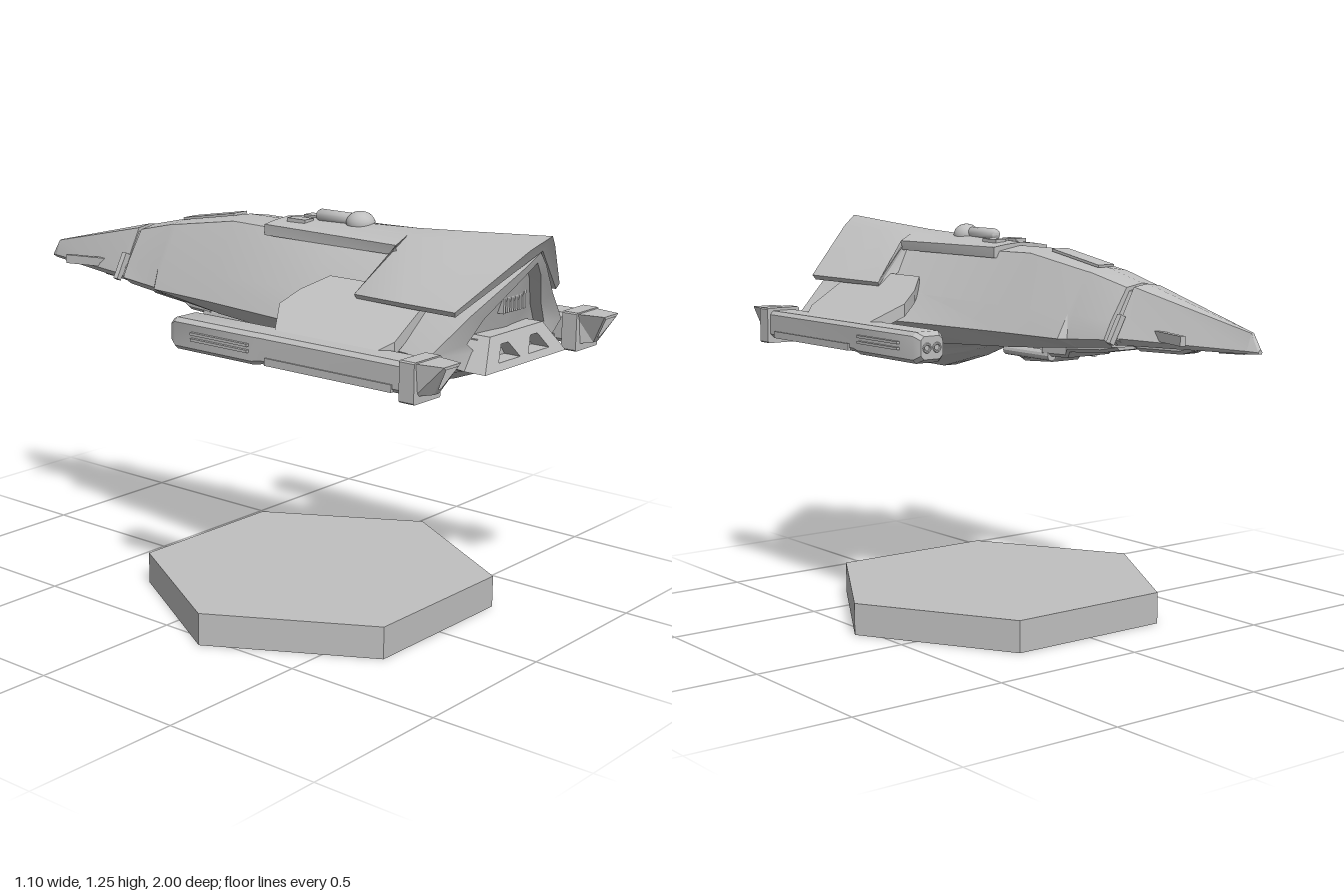
import * as THREE from 'three';
import { toCreasedNormals } from 'three/addons/utils/BufferGeometryUtils.js';

const hullGrey = new THREE.MeshStandardMaterial({ color: 0xc0c0c0 });
hullGrey.name = 'hull grey';

// Skin over half cross-sections (top centre -> +x side -> bottom centre), mirrored in x, ordered by rising z
function loft(sections) {
  const n = sections[0].pts.length, ring = 2 * n - 2;
  const pos = [], idx = [];
  for (const { z, pts } of sections) {
    for (const p of pts) pos.push(p[0], p[1], p[2] ?? z);
    for (let i = n - 2; i > 0; i--) pos.push(-pts[i][0], pts[i][1], pts[i][2] ?? z);
  }
  for (let s = 0; s < sections.length - 1; s++) {
    for (let j = 0; j < ring; j++) {
      const a = s * ring + j, b = s * ring + (j + 1) % ring;
      idx.push(a, a + ring, b, b, a + ring, b + ring);
    }
  }
  const end = (sections.length - 1) * ring;
  for (let j = 0; j < ring; j++) {
    const k = (j + 1) % ring;
    if (j === n - 1 || k === n - 1) continue;
    idx.push(n - 1, j, k, end + n - 1, end + k, end + j);
  }
  const g = new THREE.BufferGeometry();
  g.setAttribute('position', new THREE.Float32BufferAttribute(pos, 3));
  g.setIndex(idx);
  return g;
}

const sec = (z, ...pts) => ({ z, pts });

// Chamfered rectangular section
const rect = (z, w, y0, y1, c = 0.01) =>
  sec(z, [0, y1], [w - c, y1], [w, y1 - c], [w, y0 + c], [w - c, y0], [0, y0]);

function box(x0, x1, y0, y1, z0, z1) {
  return new THREE.BoxGeometry(x1 - x0, y1 - y0, z1 - z0)
    .translate((x0 + x1) / 2, (y0 + y1) / 2, (z0 + z1) / 2);
}

function mirrored(geometry) {
  const g = geometry.index ? geometry.toNonIndexed() : geometry.clone();
  g.scale(-1, 1, 1);
  const a = g.attributes.position.array;
  for (let i = 0; i < a.length; i += 9) {
    for (let k = 0; k < 3; k++) [a[i + k], a[i + 3 + k]] = [a[i + 3 + k], a[i + k]];
  }
  return g;
}

export function createModel() {
  const model = new THREE.Group();
  const add = (name, geometry, crease = 0.45) => {
    const mesh = new THREE.Mesh(toCreasedNormals(geometry, crease), hullGrey);
    mesh.name = name;
    model.add(mesh);
  };
  const pair = (name, geometry, crease) => {
    add('left ' + name, geometry, crease);
    add('right ' + name, mirrored(geometry), crease);
  };

  // Hexagonal display base
  add('display base', new THREE.CylinderGeometry(0.55, 0.55, 0.1, 6).rotateY(Math.PI / 6).translate(0, 0.05, 0.18));

  // Main hull, ending in a slanted, recessed rear face
  add('hull', loft([
    sec(-0.52, [0, 1.105], [0.06, 1.095], [0.12, 1.0], [0.145, 0.95], [0.11, 0.925], [0, 0.92]),
    sec(-0.37, [0, 1.14], [0.07, 1.13], [0.135, 1.01], [0.157, 0.94], [0.12, 0.912], [0, 0.905]),
    sec(-0.35, [0, 1.142], [0.07, 1.132], [0.14, 1.01], [0.178, 0.94], [0.12, 0.91], [0, 0.905]),
    sec(-0.1, [0, 1.185], [0.08, 1.172], [0.165, 1.015], [0.2, 0.94], [0.14, 0.89], [0, 0.885]),
    sec(0.3, [0, 1.185], [0.09, 1.168], [0.195, 1.025], [0.25, 0.94], [0.17, 0.87], [0, 0.86]),
    sec(0.86, [0, 1.195, 0.965], [0.06, 1.15, 0.945], [0.2, 1.04, 0.88], [0.33, 0.935, 0.83], [0.2, 0.88, 0.86], [0, 0.88, 0.87]),
    sec(0.86, [0, 1.165, 0.955], [0.05, 1.12, 0.935], [0.14, 1.02, 0.88], [0.19, 0.955, 0.86], [0.15, 0.925, 0.86], [0, 0.925, 0.87]),
    sec(0.84, [0, 1.155, 0.915], [0.045, 1.11, 0.9], [0.13, 1.015, 0.85], [0.18, 0.955, 0.83], [0.14, 0.93, 0.83], [0, 0.93, 0.84]),
  ]));

  // Raised roof plate widening into overhanging rear eaves
  add('roof shell', loft([
    sec(0.05, [0, 1.195], [0.06, 1.19], [0.105, 1.183], [0.105, 1.15], [0, 1.14]),
    sec(0.55, [0, 1.215], [0.05, 1.205], [0.11, 1.18], [0.105, 1.15], [0, 1.14]),
    sec(0.56, [0, 1.216], [0.06, 1.203], [0.235, 1.052, 0.5], [0.23, 1.04, 0.505], [0, 1.15]),
    sec(0.75, [0, 1.228], [0.06, 1.206], [0.25, 1.054, 0.68], [0.242, 1.04, 0.68], [0, 1.18]),
    sec(0.9, [0, 1.245, 1.0], [0.06, 1.21, 0.97], [0.258, 1.055, 0.865], [0.248, 1.04, 0.86], [0, 1.2, 0.97]),
  ]), 0.6);

  // Pointed nose behind a recessed collar and a raised flange
  add('nose collar', loft([
    sec(-0.56, [0, 1.09], [0.05, 1.085], [0.11, 0.98], [0.125, 0.95], [0.1, 0.935], [0, 0.935]),
    sec(-0.51, [0, 1.095], [0.05, 1.085], [0.11, 0.98], [0.13, 0.95], [0.1, 0.93], [0, 0.93]),
  ]));
  add('nose', loft([
    sec(-1, [0, 0.955], [0.004, 0.953], [0.008, 0.948], [0.006, 0.943], [0, 0.943]),
    sec(-0.97, [0, 1.0], [0.005, 0.998], [0.022, 0.95], [0.018, 0.942], [0, 0.942]),
    sec(-0.57, [0, 1.097], [0.047, 1.09], [0.122, 0.955], [0.105, 0.935], [0, 0.935]),
    sec(-0.54, [0, 1.104], [0.05, 1.097], [0.127, 0.955], [0.11, 0.933], [0, 0.933]),
  ]), 0.25);
  pair('nose flange', new THREE.BoxGeometry(0.018, 0.09, 0.018).rotateZ(0.5).translate(0.125, 0.98, -0.548));
  pair('nose side strip', new THREE.BoxGeometry(0.016, 0.028, 0.24).rotateY(-0.26).translate(0.083, 0.97, -0.7));

  // Thin plates under the nose and forward hull
  add('nose lower pod', loft([rect(-0.76, 0.025, 0.93, 0.95), rect(-0.72, 0.04, 0.918, 0.95), rect(-0.57, 0.06, 0.915, 0.95), rect(-0.53, 0.06, 0.93, 0.95)]));
  add('nose tip pod', loft([rect(-0.95, 0.014, 0.938, 0.95, 0.004), rect(-0.86, 0.022, 0.934, 0.95, 0.004)]));
  add('forward belly plate', loft([rect(-0.49, 0.07, 0.91, 0.94), rect(-0.44, 0.09, 0.9, 0.94), rect(-0.3, 0.1, 0.89, 0.93), rect(-0.28, 0.09, 0.87, 0.92), rect(-0.18, 0.1, 0.868, 0.92)]));
  add('belly sensor', loft([rect(-0.2, 0.05, 0.87, 0.9), rect(-0.17, 0.06, 0.845, 0.9), rect(-0.05, 0.07, 0.838, 0.9), rect(-0.01, 0.06, 0.845, 0.9), rect(0.06, 0.05, 0.87, 0.9)]));
  pair('belly gun', new THREE.CylinderGeometry(0.016, 0.016, 0.22, 12).rotateX(Math.PI / 2).translate(0.085, 0.87, -0.1));

  // Stepped keel
  const keel = (z, w, y) => sec(z, [0, 0.9], [0.2 * w, 0.885], [0.1 * w, 0.88 - 0.05 * y],
    [0.08 * w, 0.88 - 0.075 * y], [0.025 * w, 0.88 - 0.108 * y], [0, 0.88 - 0.108 * y]);
  add('keel', loft([keel(0.12, 0.4, 0.1), keel(0.25, 0.8, 0.55), keel(0.43, 1, 1), keel(0.58, 1, 1), keel(0.7, 1, 0.75), keel(0.83, 1, 0.3)]), 0.3);

  // Rear shelf with two framed openings
  const shelf = new THREE.Shape([[-0.2, 0.88], [0.2, 0.88], [0.13, 0.97], [-0.13, 0.97]].map(p => new THREE.Vector2(...p)));
  for (const s of [-1, 1]) {
    shelf.holes.push(new THREE.Path([[0.02, 0.9], [0.125, 0.9], [0.09, 0.945], [0.055, 0.945]]
      .map(([x, y]) => new THREE.Vector2(s * x, y))));
  }
  const shelfGeo = new THREE.ExtrudeGeometry(shelf, { depth: 0.09, bevelEnabled: false }).translate(0, 0, 0.83);
  const sp = shelfGeo.attributes.position;
  for (let i = 0; i < sp.count; i++) if (sp.getZ(i) > 0.9) sp.setZ(i, 0.93 - (sp.getY(i) - 0.88) * 0.4);
  add('rear shelf', shelfGeo);
  add('rear shelf back', box(-0.14, 0.14, 0.89, 0.96, 0.83, 0.86));

  // Slatted rear vent
  for (let i = 0; i < 6; i++) {
    add('vent slat', box(-0.055 + i * 0.02, -0.045 + i * 0.02, 1.02, 1.08, 0.84, 0.885));
  }

  // Wing pylons sloping down to the engines
  const plan = new THREE.Shape([[0.17, 0.36], [0.23, 0.3], [0.29, 0.27], [0.38, 0.33], [0.38, 0.7], [0.345, 0.73], [0.17, 0.73]]
    .map(([x, z]) => new THREE.Vector2(x, -z)));
  const pylon = new THREE.ExtrudeGeometry(plan, { depth: 0.04, bevelEnabled: false }).rotateX(-Math.PI / 2);
  const pp = pylon.attributes.position;
  for (let i = 0; i < pp.count; i++) pp.setY(i, pp.getY(i) + 1.0 - (pp.getX(i) - 0.23) * 0.62);
  pair('wing pylon', pylon);

  // Side engines
  const cx = 0.395;
  const place = g => g.translate(cx, 0, 0);
  pair('engine body', place(loft([
    rect(-0.025, 0.04, 0.865, 0.935, 0.012), rect(0, 0.052, 0.852, 0.947, 0.012),
    rect(0.3, 0.052, 0.852, 0.947, 0.012), rect(0.33, 0.05, 0.858, 0.947, 0.012), rect(0.84, 0.05, 0.858, 0.947, 0.012),
  ])));
  pair('engine collar', place(loft([rect(0.83, 0.06, 0.84, 0.956, 0.004), rect(0.88, 0.06, 0.84, 0.956, 0.004)])));
  pair('engine exhaust', place(loft([
    sec(0.87, [0, 0.952], [0.055, 0.952], [0.045, 0.86], [0, 0.86]),
    sec(0.96, [0, 0.952], [0.038, 0.952], [0.012, 0.865, 0.91], [0, 0.865, 0.91]),
    sec(0.96, [0, 0.944], [0.028, 0.944], [0.006, 0.88, 0.92], [0, 0.88, 0.92]),
    sec(0.91, [0, 0.935], [0.014, 0.935], [0.004, 0.89, 0.9], [0, 0.89, 0.9]),
  ])));
  for (const s of [-1, 1]) {
    const x = cx + s * 0.055;
    pair('engine side rail', box(x - 0.007, x + 0.007, 0.906, 0.914, 0.07, 0.29));
    pair('engine side rail', box(x - 0.007, x + 0.007, 0.888, 0.896, 0.07, 0.29));
    pair('engine lower strip', box(cx + s * 0.05 - 0.005, cx + s * 0.05 + 0.005, 0.86, 0.882, 0.35, 0.8));
    pair('engine front port', new THREE.TorusGeometry(0.012, 0.004, 6, 16).translate(cx + s * 0.018, 0.9, -0.026), 1);
  }

  // Roof turret with a forward barrel and two hatch plates
  add('turret dome', new THREE.SphereGeometry(0.04, 20, 12).scale(1, 0.9, 1.15).translate(0, 1.205, 0.335), 1);
  add('turret barrel', new THREE.CapsuleGeometry(0.02, 0.12, 6, 12).rotateX(Math.PI / 2).translate(0, 1.212, 0.25), 1);
  pair('roof hatch', box(0.02, 0.06, 1.185, 1.203, 0.1, 0.17));
  add('canopy plate', new THREE.BoxGeometry(0.06, 0.008, 0.22).rotateX(-0.17).translate(0, 1.163, -0.25));

  return model;
}
